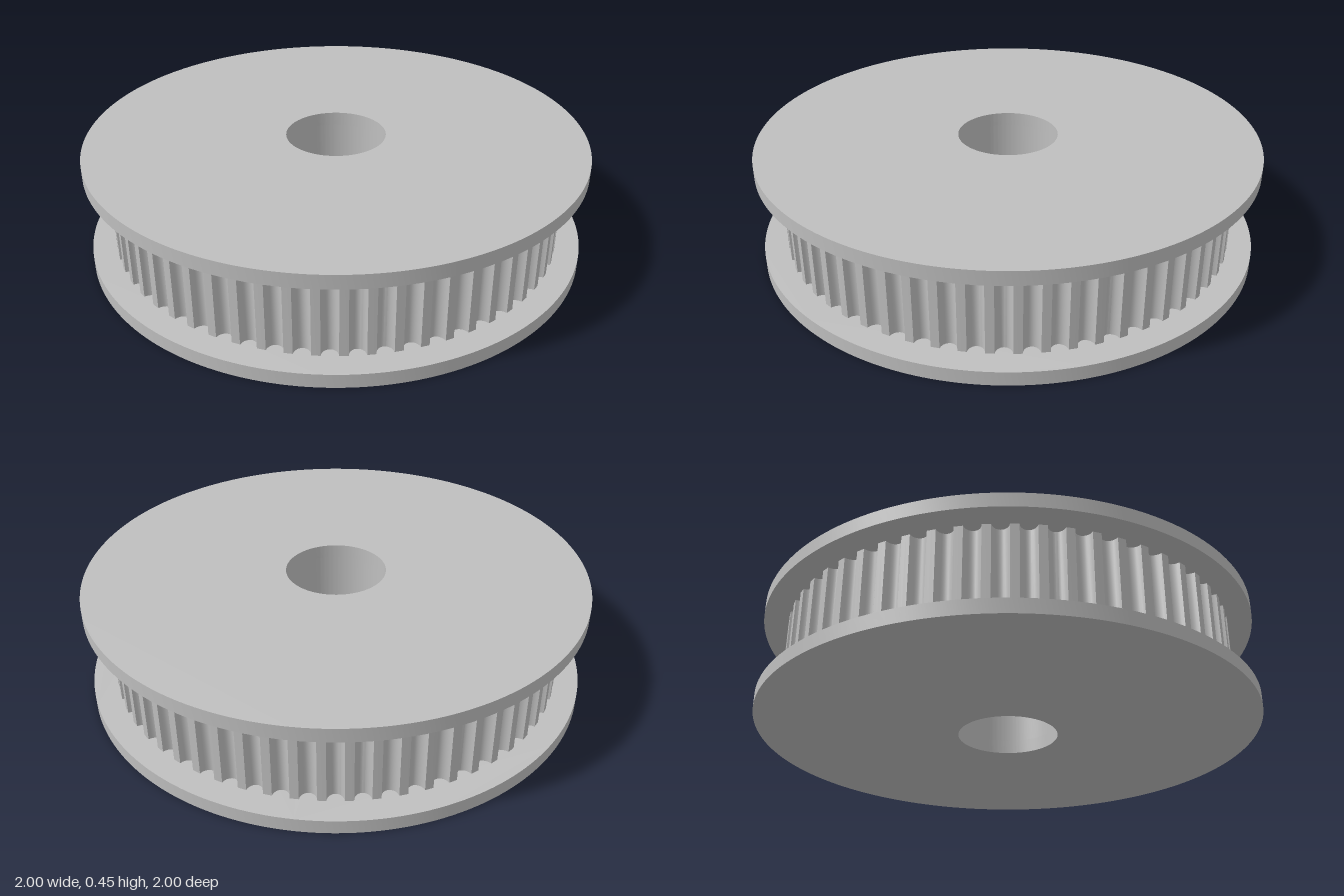
import * as THREE from 'three';
import { toCreasedNormals } from 'three/addons/utils/BufferGeometryUtils.js';

const FLANGE_R = 1, BORE_R = 0.2, HEIGHT = 0.45, FLANGE_T = 0.055;
const TEETH = 60, TOOTH_R = 0.905, GROOVE_DEPTH = 0.036;
const PITCH = (Math.PI * 2) / TEETH, LAND = PITCH * 0.34, PHASE = -0.018;

// Extrude an outline upward, with the round bore cut through it
function boredPlate(shape, bottom, height) {
  shape.holes.push(new THREE.Path().absarc(0, 0, BORE_R, 0, Math.PI * 2, true));
  const geo = new THREE.ExtrudeGeometry(shape, { depth: height, bevelEnabled: false, curveSegments: 96 });
  geo.rotateX(-Math.PI / 2).translate(0, bottom, 0);
  return toCreasedNormals(geo, 0.6);
}

// Toothed outline: narrow lands with rounded grooves between them
function toothedOutline() {
  const points = [];
  const add = (r, a) => points.push(new THREE.Vector2(r * Math.cos(a), r * Math.sin(a)));
  const steps = 10;
  for (let i = 0; i < TEETH; i++) {
    const landCentre = i * PITCH + PHASE;
    const grooveCentre = landCentre + PITCH / 2;
    const halfGroove = (PITCH - LAND) / 2;
    add(TOOTH_R, landCentre);
    for (let k = 0; k <= steps; k++) {
      const t = (k / steps) * Math.PI;
      add(TOOTH_R - GROOVE_DEPTH * Math.sin(t), grooveCentre - halfGroove * Math.cos(t));
    }
  }
  return new THREE.Shape(points);
}

export function createModel() {
  const group = new THREE.Group();
  group.name = 'timingPulley';
  const metal = new THREE.MeshStandardMaterial({ color: 0xbfbfbf });
  metal.name = 'grey metal';

  const addPart = (name, geo) => {
    const mesh = new THREE.Mesh(geo, metal);
    mesh.name = name;
    group.add(mesh);
  };
  const disc = () => new THREE.Shape().absarc(0, 0, FLANGE_R, 0, Math.PI * 2, false);

  // Two flanges with the toothed drum between them
  addPart('bottomFlange', boredPlate(disc(), 0, FLANGE_T));
  addPart('toothedDrum', boredPlate(toothedOutline(), FLANGE_T, HEIGHT - 2 * FLANGE_T));
  addPart('topFlange', boredPlate(disc(), HEIGHT - FLANGE_T, FLANGE_T));
  return group;
}
